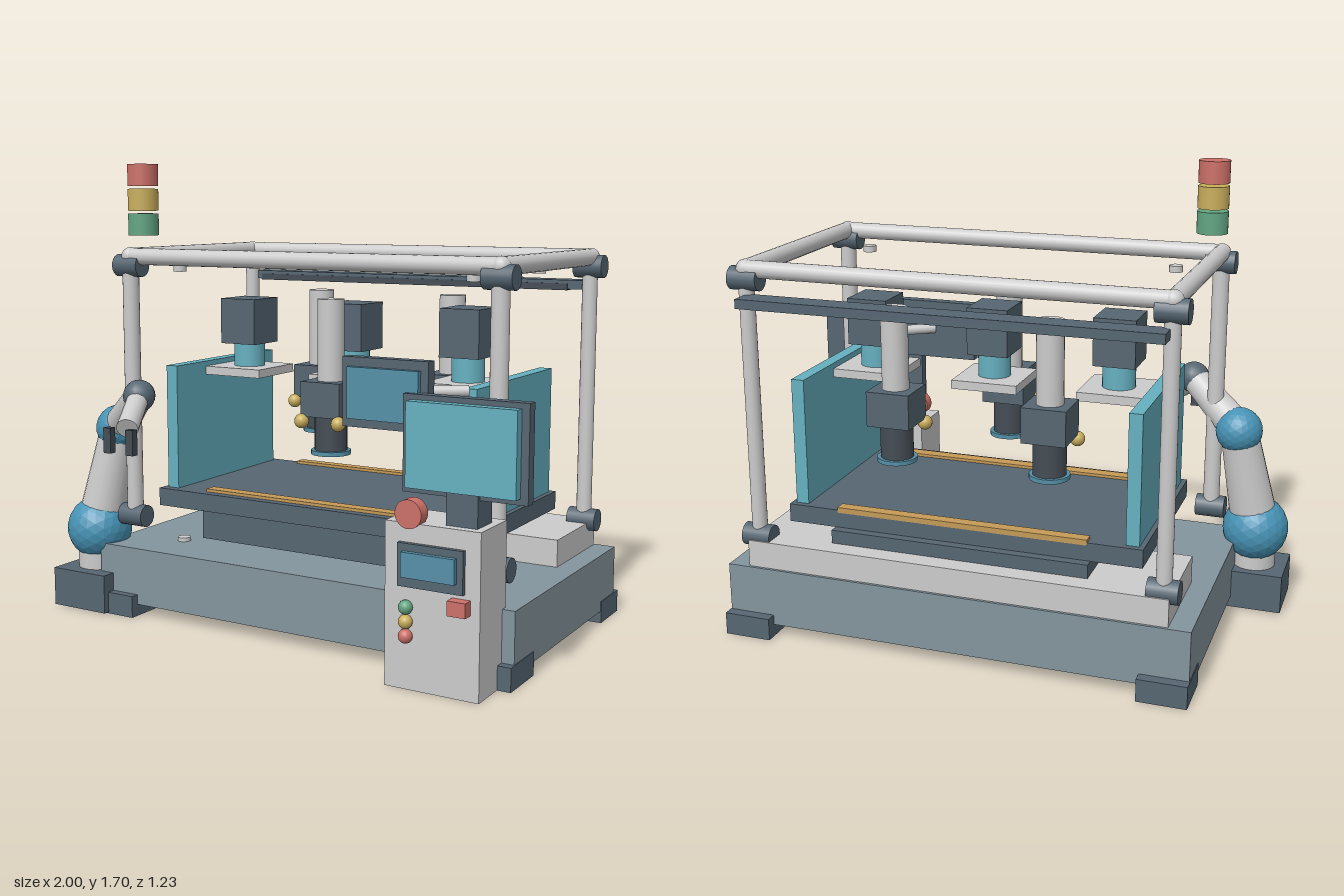
import * as THREE from 'three';

const mat = (color, flatShading = false) => new THREE.MeshStandardMaterial({ color, flatShading });
const GREY = mat(0xcccccc), STEEL = mat(0x84959d), DARK = mat(0x566672), BLACK = mat(0x444c54);
const TEAL = mat(0x66b0c0), GLASS = mat(0x5590a8), BLUE = mat(0x4793b5, true);
const GOLD = mat(0xc9ae5c), RAIL = mat(0xc49a58), RED = mat(0xcc7068), GREEN = mat(0x62a582);
const V = (x, y, z) => new THREE.Vector3(x, y, z);
const MID = 0.05; // the machine's own centre line

export function createModel() {
  const root = new THREE.Group();
  root.name = 'assemblyCell';

  const group = (name, parent = root) => {
    const g = new THREE.Group();
    g.name = name;
    parent.add(g);
    return g;
  };
  const put = (name, geo, material, x, y, z, parent) => {
    const m = new THREE.Mesh(geo, material);
    m.name = name;
    m.position.set(x, y, z);
    parent.add(m);
    return m;
  };
  // box given by its limits on each axis
  const box = (name, material, [x0, x1], [y0, y1], [z0, z1], parent = root) =>
    put(name, new THREE.BoxGeometry(x1 - x0, y1 - y0, z1 - z0), material,
      (x0 + x1) / 2, (y0 + y1) / 2, (z0 + z1) / 2, parent);
  // upright cylinder between two heights
  const cyl = (name, material, r, x, [y0, y1], z, parent = root) =>
    put(name, new THREE.CylinderGeometry(r, r, y1 - y0, 24), material, x, (y0 + y1) / 2, z, parent);
  // rod between two points
  const rod = (name, material, a, b, r0, r1 = r0, parent = root) => {
    const d = b.clone().sub(a);
    const m = put(name, new THREE.CylinderGeometry(r1, r0, d.length(), 20), material,
      (a.x + b.x) / 2, (a.y + b.y) / 2, (a.z + b.z) / 2, parent);
    m.quaternion.setFromUnitVectors(V(0, 1, 0), d.normalize());
    return m;
  };
  const ball = (name, material, r, p, parent = root) =>
    put(name, new THREE.SphereGeometry(r, 16, 12), material, p.x, p.y, p.z, parent);

  // Base with feet, levelling pads and bolts
  const base = group('base');
  box('baseBlock', STEEL, [-0.81, 0.91], [0.05, 0.268], [-0.575, 0.38], base);
  box('rearPlate', GREY, [-0.73, 0.83], [0.268, 0.368], [-0.565, -0.185], base);
  for (const s of [-1, 1]) {
    const fx = MID + s * 0.775, bx = MID + s * 0.607;
    for (const [z0, z1] of [[-0.615, -0.435], [0.22, 0.412]])
      box('foot', DARK, [fx - 0.088, fx + 0.088], [0.005, 0.088], [z0, z1], base);
    for (const z of [-0.385, 0.185]) {
      box('levellingPad', DARK, [bx - 0.058, bx + 0.058], [0.033, 0.052], [z - 0.05, z + 0.05], base);
      cyl('baseBolt', GREY, 0.025, bx, [0.266, 0.283], z, base);
      cyl('lampDisc', GREY, 0.025, bx, [1.308, 1.332], z, base);
    }
  }

  // Work table with rails and side panels
  const table = group('workTable');
  box('tableCore', DARK, [-0.43, 0.53], [0.305, 0.418], [-0.49, 0.235], table);
  box('tableTop', DARK, [-0.613, 0.713], [0.417, 0.484], [-0.455, 0.262], table);
  for (const [z0, z1] of [[-0.458, -0.415], [0.18, 0.228]])
    box('guideRail', RAIL, [-0.417, 0.519], [0.475, 0.495], [z0, z1], table);
  for (const s of [-1, 1]) {
    const x = MID + s * 0.621;
    box('sidePanel', TEAL, [x - 0.024, x + 0.024], [0.48, 0.954], [-0.432, 0.228], table);
  }

  // Tubular frame
  const frame = group('frame');
  const X = [-0.702, 0.804], Z = [-0.518, 0.298], TOP = 1.366;
  for (const x of X) {
    for (const z of Z) {
      rod('post', GREY, V(x, 0.345, z), V(x, TOP, z), z > 0 ? 0.031 : 0.028, undefined, frame);
      for (const y of [0.376, 1.332])
        rod('clamp', DARK, V(x - 0.055, y, z), V(x + 0.055, y, z), 0.042, undefined, frame);
      ball('cornerJoint', GREY, 0.034, V(x, TOP, z), frame);
    }
    rod('sideBeam', GREY, V(x, TOP, Z[0]), V(x, TOP, Z[1]), 0.032, undefined, frame);
  }
  for (const z of Z) rod('longBeam', GREY, V(X[0], TOP, z), V(X[1], TOP, z), 0.031, undefined, frame);
  box('rearCableTray', DARK, [-0.70, 0.80], [1.244, 1.278], [-0.612, -0.522], frame);
  box('trayStrip', BLACK, [-0.655, 0.715], [1.24, 1.265], [-0.59, -0.518], frame);

  // Signal tower
  const tower = group('signalTower');
  [GREEN, GOLD, RED].forEach((m, i) =>
    cyl('signalLamp', m, 0.057, -0.67, [1.444 + i * 0.091, 1.525 + i * 0.091], 0.256, tower));

  // Spindles
  for (const [x, z] of [[-0.24, -0.322], [0.05, 0.092], [0.337, -0.322]]) {
    const g = group('spindle');
    g.position.set(x, 0, z);
    cyl('spindleMotor', GREY, 0.049, 0, [0.92, 1.222], 0, g);
    box('spindleBlock', DARK, [-0.081, 0.081], [0.797, 0.925], [-0.08, 0.08], g);
    cyl('spindleNose', BLACK, 0.06, 0, [0.668, 0.8], 0, g);
    cyl('spindleRing', GLASS, 0.073, 0, [0.654, 0.67], 0, g);
    for (const s of [-1, 1]) ball('spindleKnob', GOLD, 0.027, V(s * 0.077, 0.78, 0.08), g);
  }

  // Press heads
  for (const x of [-0.42, 0.05, 0.52]) {
    const g = group('pressHead');
    g.position.set(x, 0, -0.075);
    box('pressMotor', DARK, [-0.077, 0.077], [1.024, 1.198], [-0.082, 0.082], g);
    cyl('pressRam', TEAL, 0.06, 0, [0.93, 1.03], 0, g);
    box('pressPlate', GREY, [-0.124, 0.124], [0.903, 0.935], [-0.122, 0.122], g);
  }

  // Robot arm
  const arm = group('robotArm');
  const shoulder = V(-0.876, 0.308, 0.305), elbow = V(-0.802, 0.703, 0.265);
  const wrist = V(-0.598, 0.857, 0.392), tool = V(-0.52, 0.765, 0.56);
  box('pedestal', DARK, [-1, -0.752], [0.01, 0.157], [0.2, 0.436], arm);
  cyl('pedestalCollar', GREY, 0.08, -0.876, [0.15, 0.26], 0.312, arm);
  for (const [n, r, p] of [['shoulder', 0.125, shoulder], ['elbow', 0.088, elbow]])
    put(n, new THREE.IcosahedronGeometry(r, 3), BLUE, p.x, p.y, p.z, arm);
  rod('upperArm', GREY, shoulder, elbow, 0.092, 0.07, arm);
  rod('forearm', GREY, elbow, wrist, 0.066, 0.052, arm);
  ball('wrist', DARK, 0.06, wrist, arm);
  rod('toolTube', GREY, wrist, tool, 0.04, 0.04, arm);
  for (const s of [-1, 1]) {
    const x = -0.517 + s * 0.05;
    box('gripperFinger', BLACK, [x - 0.016, x + 0.016], [0.68, 0.772], [0.59, 0.617], arm);
  }

  // Control cabinet
  const cab = group('controlCabinet');
  box('cabinetBody', GREY, [0.527, 0.865], [0.005, 0.558], [0.355, 0.553], cab);
  box('panelFrame', DARK, [0.58, 0.812], [0.352, 0.495], [0.55, 0.57], cab);
  box('panelScreen', GLASS, [0.601, 0.79], [0.387, 0.47], [0.56, 0.588], cab);
  box('switch', RED, [0.768, 0.832], [0.287, 0.336], [0.55, 0.592], cab);
  [RED, GOLD, GREEN].forEach((m, i) => ball('pushButton', m, 0.024, V(0.608, 0.187 + i * 0.048, 0.563), cab));
  rod('stopButton', RED, V(0.614, 0.588, 0.515), V(0.614, 0.588, 0.563), 0.048, 0.048, cab);
  box('monitorNeck', DARK, [0.727, 0.837], [0.55, 0.735], [0.412, 0.52], cab);

  // Monitors
  const mon = group('monitors');
  box('mainMonitorCase', DARK, [0.564, 0.998], [0.647, 0.966], [0.465, 0.505], mon);
  box('mainMonitorScreen', TEAL, [0.59, 0.972], [0.668, 0.948], [0.5, 0.54], mon);
  box('sideMonitorCase', DARK, [0.318, 0.634], [0.834, 1.067], [0.425, 0.468], mon);
  box('sideMonitorScreen', GLASS, [0.345, 0.607], [0.864, 1.036], [0.46, 0.488], mon);
  ball('sideMonitorButton', RED, 0.018, V(0.575, 0.875, 0.485), mon);
  rod('monitorBracket', GREY, V(0.49, 0.955, 0.43), V(0.69, 0.955, 0.285), 0.02, 0.02, mon);

  return root;
}
